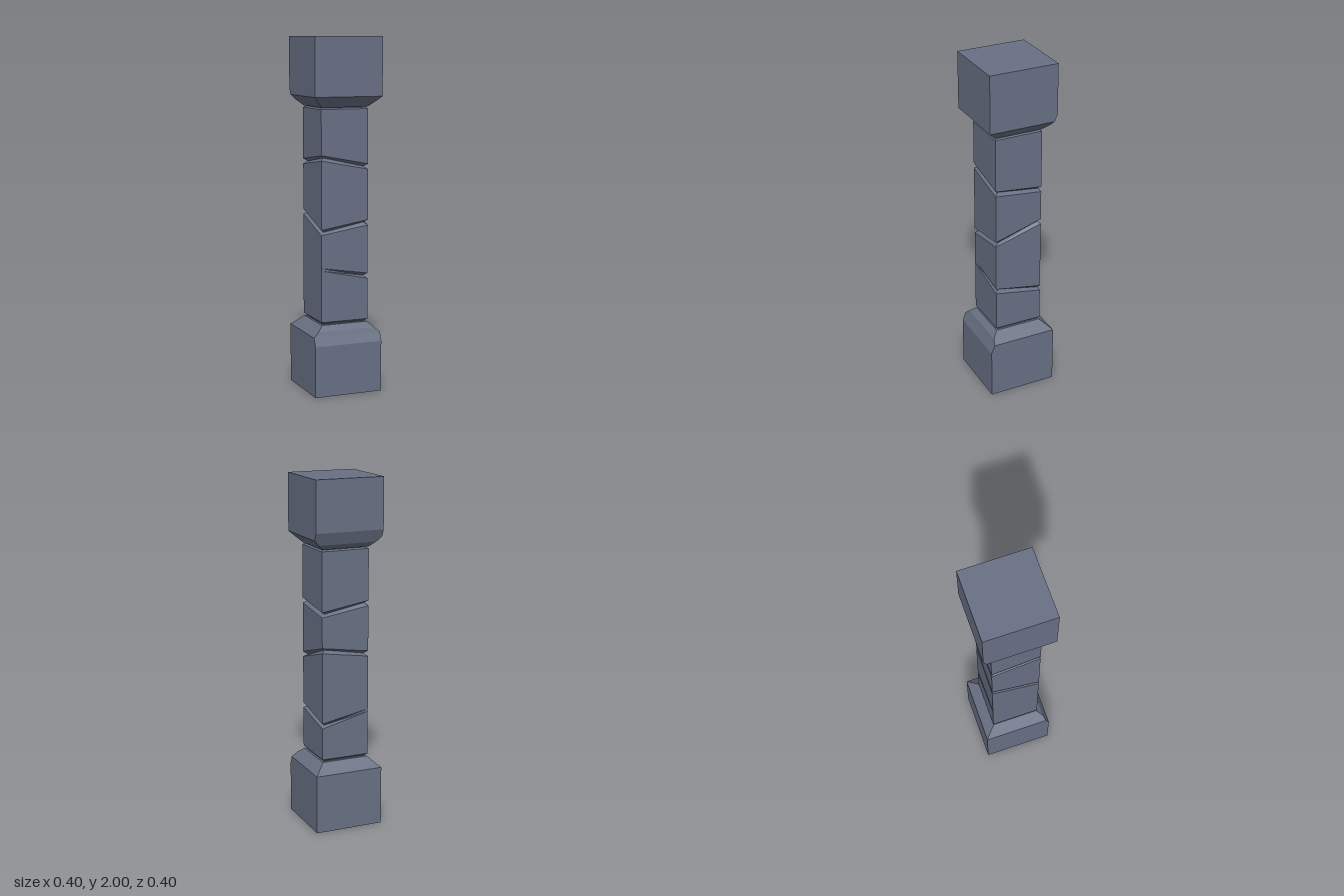
import * as THREE from 'three';

// Square ring of four corners, counter-clockwise from above: front-left-of-view, then +x, back, -x.
// y is one height or four corner heights; front/back override the half depth.
function ring(half, y, front = half, back = half) {
  const h = Array.isArray(y) ? y : [y, y, y, y];
  return [[-half, h[0], front], [half, h[1], front], [half, h[2], -back], [-half, h[3], -back]];
}

// Skin a stack of rings from bottom to top and close both ends
function loft(name, rings, material) {
  const pos = [];
  const quad = (a, b, c, d) => pos.push(...a, ...b, ...c, ...a, ...c, ...d);
  for (let r = 0; r < rings.length - 1; r++) {
    for (let i = 0; i < 4; i++) {
      const j = (i + 1) % 4;
      quad(rings[r][i], rings[r][j], rings[r + 1][j], rings[r + 1][i]);
    }
  }
  const bottom = rings[0], top = rings[rings.length - 1];
  quad(bottom[3], bottom[2], bottom[1], bottom[0]);
  quad(top[0], top[1], top[2], top[3]);
  const geometry = new THREE.BufferGeometry();
  geometry.setAttribute('position', new THREE.Float32BufferAttribute(pos, 3));
  geometry.computeVertexNormals();
  const mesh = new THREE.Mesh(geometry, material);
  mesh.name = name;
  return mesh;
}

export function createModel() {
  const group = new THREE.Group();
  group.name = 'stonePillar';
  const stone = new THREE.MeshStandardMaterial({ color: 0x687084 });
  stone.name = 'slate stone';
  stone.flatShading = true;

  // Base block: bevelled top, with a larger bevel at the front
  group.add(loft('base', [
    ring(0.2, 0), ring(0.2, 0.29), ring(0.2, 0.338, 0.18, 0.2),
    ring(0.17, 0.365), ring(0.137, 0.395),
  ], stone));

  // Capital block: bevelled underside, with a larger bevel at the back
  group.add(loft('capital', [
    ring(0.137, 1.612), ring(0.17, 1.642), ring(0.2, 1.672, 0.2, 0.183),
    ring(0.2, 1.712), ring(0.2, 2),
  ], stone));

  // Shaft with slanted V grooves; heights are the upper edge at each corner
  const w = 0.14, depth = 0.02, gap = 0.03;
  const grooves = [
    { top: [0.735, 0.675, 0.625, 0.68], fade: true },
    { top: [0.935, 0.98, 1.062, 1.02] },
    { top: [1.35, 1.295, 1.265, 1.31] },
  ];
  const shaft = [ring(0.125, 0.39), ring(0.125, 0.4), ring(w, 0.412)];
  for (const { top, fade } of grooves) {
    const inner = ring(w - depth, top.map((y) => y - gap / 2));
    // The lowest groove runs out at the -x corners
    if (fade) {
      inner[0][0] = inner[3][0] = -w;
      inner[0][2] = w;
      inner[3][2] = -w;
    }
    shaft.push(ring(w, top.map((y) => y - gap)), inner, ring(w, top));
  }
  shaft.push(ring(w, 1.602), ring(0.127, 1.609), ring(0.127, 1.618));
  group.add(loft('shaft', shaft, stone));

  return group;
}
